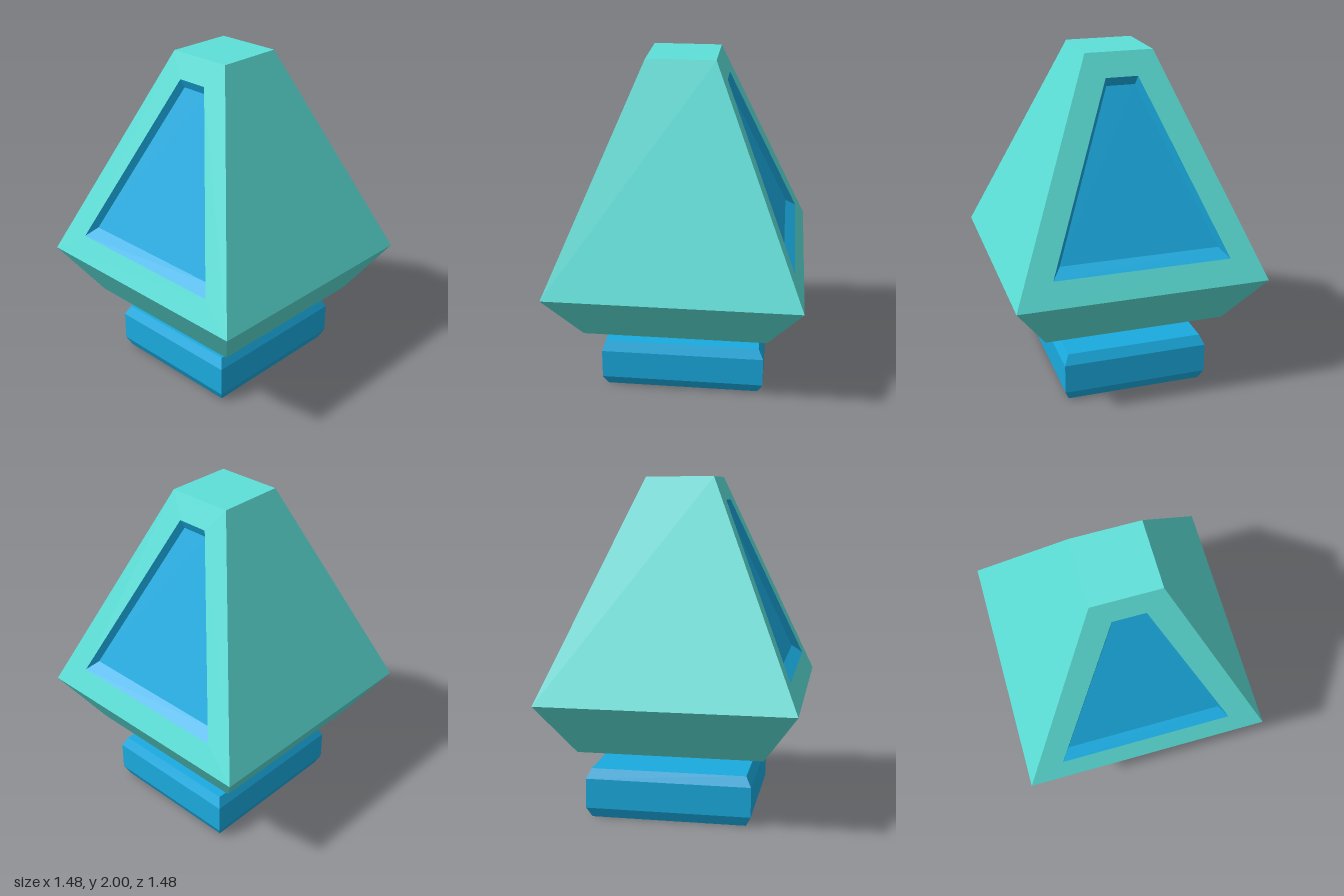
import * as THREE from 'three';

const teal = new THREE.MeshStandardMaterial({ color: 0x5cdfd8, flatShading: true });
const blue = new THREE.MeshStandardMaterial({ color: 0x1aabe0, flatShading: true });

// Flat-shaded mesh from a list of four-cornered faces
function quadMesh(name, quads, material) {
  const points = quads.flatMap(([a, b, c, d]) => [a, b, c, a, c, d]);
  const geometry = new THREE.BufferGeometry();
  geometry.setAttribute('position', new THREE.Float32BufferAttribute(points.flat(), 3));
  geometry.computeVertexNormals();
  const mesh = new THREE.Mesh(geometry, material);
  mesh.name = name;
  return mesh;
}

// Horizontal rectangle, starting at the front right corner
const ring = (y, x, z = x) => [[-x, y, z], [x, y, z], [x, y, -z], [-x, y, -z]];

// Trapezoid facing +x, leaning from (x0, y0) up to (x1, y1)
const panel = (x0, y0, z0, x1, y1, z1) =>
  [[x0, y0, z0], [x0, y0, -z0], [x1, y1, -z1], [x1, y1, z1]];

// Four faces joining two loops
const band = (a, b) => a.map((p, i) => {
  const j = (i + 1) % 4;
  return [p, a[j], b[j], b[i]];
});

const flip = (loop) => [...loop].reverse();

export function createModel() {
  const model = new THREE.Group();
  model.name = 'model';

  // Tapered body; its left and right slopes are added as frames below
  const bottom = ring(0.425, 0.54);
  const waist = ring(0.73, 0.74);
  const top = ring(2, 0.2);
  const slopes = band(waist, top);
  model.add(quadMesh('body',
    [flip(bottom), ...band(bottom, waist), slopes[0], slopes[2], top], teal));

  // Sloping frame around a sunken trapezoid window, on both sides
  const edge = panel(0.74, 0.73, 0.74, 0.2, 2, 0.2);
  const rim = panel(0.68, 0.87, 0.52, 0.257, 1.865, 0.095);
  const floor = panel(0.615, 0.923, 0.467, 0.235, 1.814, 0.085);
  for (const [side, angle] of [['left', 0], ['right', Math.PI]]) {
    const group = new THREE.Group();
    group.name = `${side}Side`;
    group.rotation.y = angle;
    group.add(quadMesh(`${side}Frame`, band(edge, rim), teal));
    group.add(quadMesh(`${side}Recess`, [...band(rim, floor), floor], blue));
    model.add(group);
  }

  // Separate bevelled base slab, slightly off centre
  const levels = [
    ring(0, 0.46, 0.41), ring(0.06, 0.49, 0.437),
    ring(0.238, 0.49, 0.437), ring(0.297, 0.46, 0.41),
  ];
  const faces = [flip(levels[0]), levels[3]];
  for (let i = 0; i < 3; i++) faces.push(...band(levels[i], levels[i + 1]));
  const base = quadMesh('base', faces, blue);
  base.position.set(0.03, 0, -0.014);
  model.add(base);

  return model;
}
